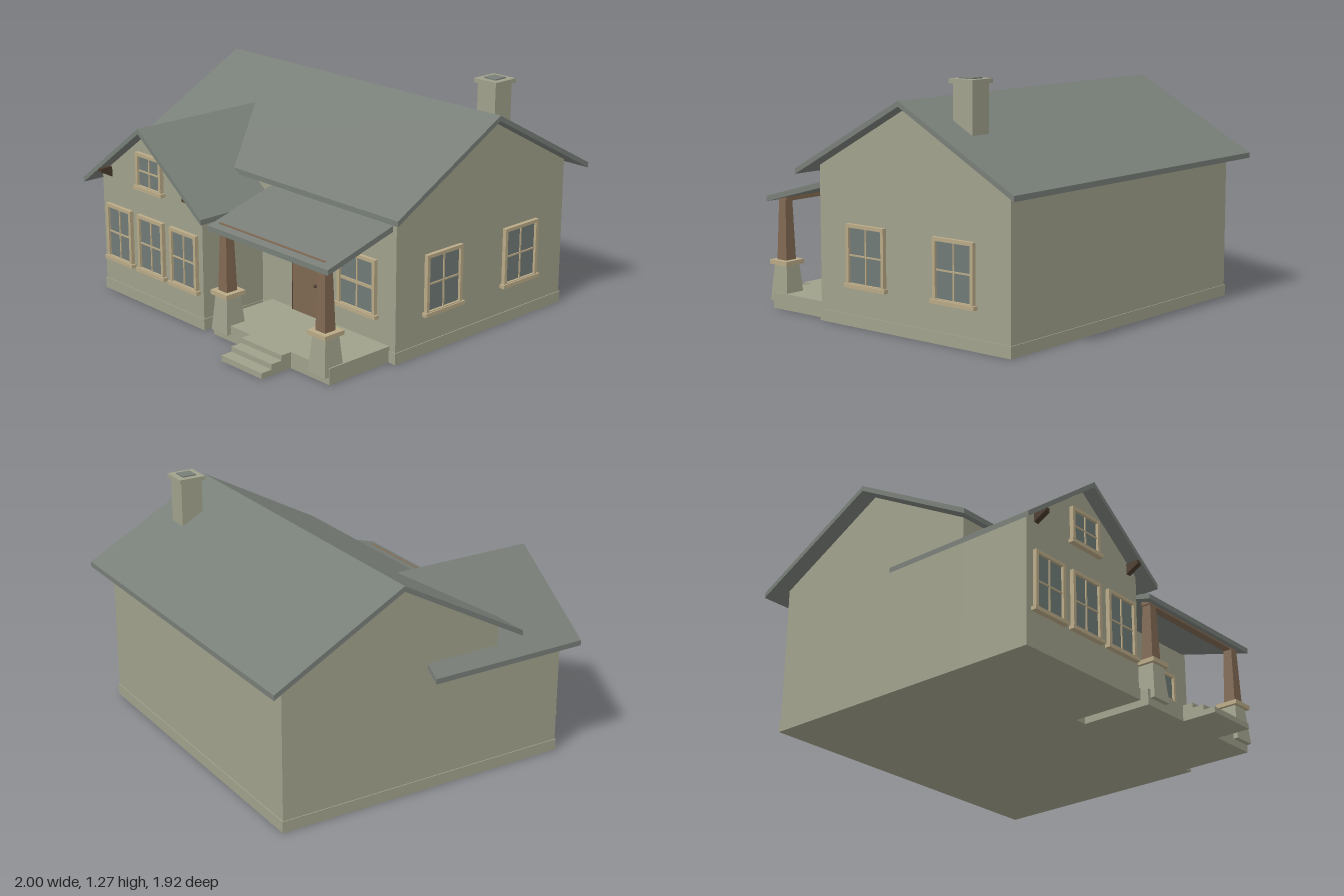
import * as THREE from 'three';

const mat = (name, color) => {
  const m = new THREE.MeshStandardMaterial({ color });
  m.name = name;
  return m;
};

export function createModel() {
  const wall = mat('sage wall', 0xa0a18b);
  const roof = mat('grey roof', 0x787e78);
  const trim = mat('tan trim', 0xb9a986);
  const wood = mat('brown wood', 0x7f6851);
  const glass = mat('window glass', 0x6f7a76);
  const dark = mat('dark wood', 0x4a3a2c);

  const house = new THREE.Group();
  house.name = 'house';

  const add = (name, geo, material, parent = house) => {
    const m = new THREE.Mesh(geo, material);
    m.name = name;
    parent.add(m);
    return m;
  };
  // Box given by its min and max on each axis
  const box = (name, material, [x0, x1], [y0, y1], [z0, z1], parent) => {
    const g = new THREE.BoxGeometry(x1 - x0, y1 - y0, z1 - z0);
    g.translate((x0 + x1) / 2, (y0 + y1) / 2, (z0 + z1) / 2);
    return add(name, g, material, parent);
  };
  const extrude = (pts, depth) => new THREE.ExtrudeGeometry(
    new THREE.Shape(pts.map(([x, y]) => new THREE.Vector2(x, y))), { depth, bevelEnabled: false });
  // Profile in (x, y), run along z
  const alongZ = (name, material, pts, z0, z1) =>
    add(name, extrude(pts, z1 - z0).translate(0, 0, z0), material);
  // Profile in (z, y), run along x
  const alongX = (name, material, pts, x0, x1) =>
    add(name, extrude(pts.map(([z, y]) => [-z, y]), x1 - x0)
      .rotateY(Math.PI / 2).translate(x0, 0, 0), material);
  // Square post that narrows from w0 at the bottom to w1 at the top
  const taper = (name, material, x, z, y0, y1, w0, w1) => {
    const g = new THREE.BoxGeometry(1, y1 - y0, 1);
    const p = g.attributes.position;
    for (let i = 0; i < p.count; i++) {
      const w = p.getY(i) > 0 ? w1 : w0;
      p.setX(i, p.getX(i) * w);
      p.setZ(i, p.getZ(i) * w);
    }
    g.computeVertexNormals();
    add(name, g.translate(x, (y0 + y1) / 2, z), material);
  };
  // Chevron roof profile: ridge at (c, top), eaves at c -/+ half
  const T = 0.028;
  const chevron = (c, half, top, eave) => [
    [c - half, eave], [c - half, eave - T], [c, top - T],
    [c + half, eave - T], [c + half, eave], [c, top]];

  // Main block with its gable ends
  alongX('mainWalls', wall,
    [[0.37, 0], [0.37, 0.796], [-0.25, 1.134], [-0.87, 0.796], [-0.87, 0]], -0.91, 0.91);
  box('mainBase', wall, [-0.915, 0.915], [0, 0.06], [-0.875, 0.375]);
  alongX('mainRoof', roof, chevron(-0.2525, 0.7075, 1.163, 0.78), -1, 1);

  // Front wing
  alongZ('wingWalls', wall,
    [[-0.91, 0], [-0.07, 0], [-0.07, 0.665], [-0.487, 0.97], [-0.91, 0.66]], 0.3, 0.77);
  box('wingBase', wall, [-0.915, -0.065], [0, 0.06], [0.3, 0.775]);
  alongZ('wingRoof', roof, chevron(-0.487, 0.498, 1.0, 0.632), -0.05, 0.845);

  // Porch floor and steps
  box('porchFloor', wall, [0.005, 0.87], [0, 0.085], [0.36, 0.77]);
  [[0.83, 0.085], [0.895, 0.058], [0.96, 0.03]].forEach(([z, y]) =>
    box('step', wall, [0.295, 0.595], [0, y], [0.765, z]));

  // Porch roof, beam and columns
  alongX('porchRoof', roof,
    [[0.365, 0.712], [0.365, 0.682], [0.797, 0.565], [0.797, 0.593]], 0.005, 0.885);
  box('porchBeam', wood, [0.05, 0.82], [0.565, 0.6075], [0.715, 0.758]);
  for (const x of [0.083, 0.805]) {
    taper('columnPedestal', wall, x, 0.735, 0.04, 0.232, 0.123, 0.09);
    box('pedestalCap', trim, [x - 0.063, x + 0.063], [0.232, 0.255], [0.672, 0.798]);
    taper('porchColumn', wood, x, 0.737, 0.255, 0.575, 0.068, 0.048);
  }

  // Door
  box('door', wood, [0.185, 0.415], [0.085, 0.525], [0.365, 0.388]);
  box('doorEdge', dark, [0.179, 0.185], [0.085, 0.525], [0.365, 0.388]);
  add('doorKnob', new THREE.SphereGeometry(0.009, 12, 8).translate(0.36, 0.262, 0.393), dark);

  // Window facing +z, with its origin at the centre of the opening on the wall
  const makeWindow = (w, h, x, y, z, turn = 0, rail = 0.008) => {
    const g = new THREE.Group();
    g.name = 'window';
    const f = 0.018, a = w / 2, b = h / 2;
    const s = new THREE.Shape([[-a, -b], [a, -b], [a, b], [-a, b]].map(q => new THREE.Vector2(...q)));
    s.holes.push(new THREE.Path([[f - a, f - b], [f - a, b - f], [a - f, b - f], [a - f, f - b]]
      .map(q => new THREE.Vector2(...q))));
    add('windowFrame', new THREE.ExtrudeGeometry(s, { depth: 0.022, bevelEnabled: false }), trim, g);
    box('windowGlass', glass, [f - a, a - f], [f - b, b - f], [0, 0.008], g);
    box('verticalBar', trim, [-0.004, 0.004], [f - b, b - f], [0.004, 0.014], g);
    box('horizontalBar', trim, [f - a, a - f], [-rail / 2, rail / 2], [0.004, 0.014], g);
    box('windowSill', trim, [-a - 0.012, a + 0.012], [-b - 0.006, 0.014 - b], [0, 0.03], g);
    g.position.set(x, y, z);
    g.rotation.y = turn;
    house.add(g);
  };
  for (const x of [-0.758, -0.485, -0.212]) makeWindow(0.215, 0.31, x, 0.347, 0.77);
  makeWindow(0.21, 0.195, -0.485, 0.748, 0.77);
  makeWindow(0.265, 0.3, 0.65, 0.362, 0.37, 0, 0.016);
  for (const z of [0.045, -0.53]) makeWindow(0.255, 0.315, 0.91, 0.365, z, Math.PI / 2);

  // Brackets under the gable and the main eave
  for (const x of [-0.84, -0.13])
    alongX('gableBracket', dark,
      [[0.765, 0.65], [0.84, 0.69], [0.84, 0.71], [0.765, 0.71]], x - 0.015, x + 0.015);
  for (const x of [0.27, 0.74])
    alongX('eaveBracket', dark,
      [[0.365, 0.717], [0.445, 0.752], [0.445, 0.762], [0.365, 0.8]], x - 0.015, x + 0.015);

  // Chimney
  box('chimney', wall, [0.687, 0.807], [0.9, 1.246], [-0.551, -0.429]);
  box('chimneyCap', wall, [0.673, 0.822], [1.244, 1.266], [-0.565, -0.415]);
  box('chimneyFlue', roof, [0.708, 0.787], [1.26, 1.272], [-0.53, -0.45]);

  return house;
}
